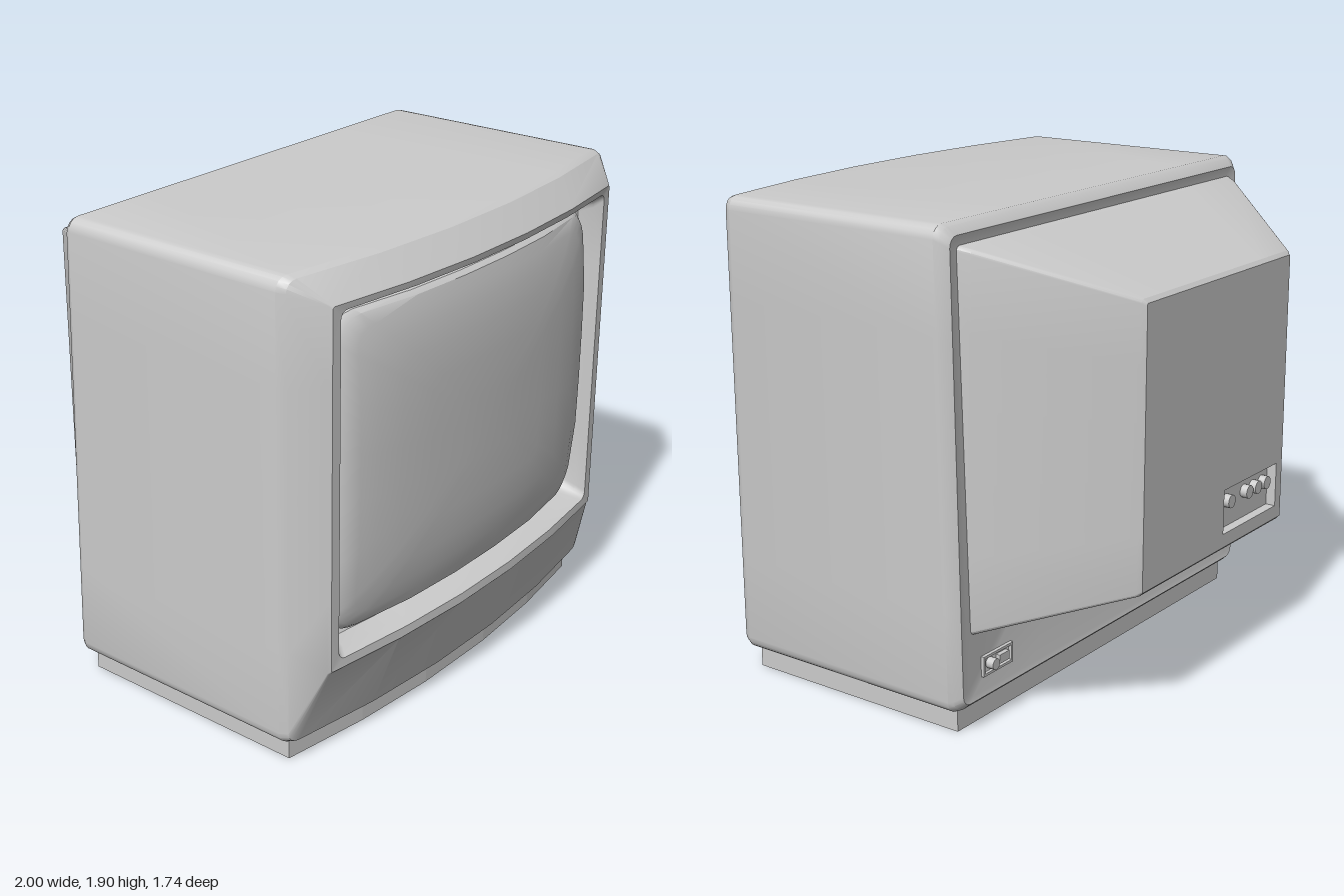
import * as THREE from 'three';
import { toCreasedNormals } from 'three/addons/utils/BufferGeometryUtils.js';

const grey = new THREE.MeshStandardMaterial({ color: 0xcccccc });
const inside = new THREE.MeshStandardMaterial({ color: 0xcccccc, side: THREE.BackSide });

// Rounded rectangle loop: half width w, heights y0..y1, corner radius r, depth z(x, y)
function ring([w, y0, y1, r, z]) {
  const arcs = [[w - r, y0 + r, -0.5], [w - r, y1 - r, 0], [r - w, y1 - r, 0.5], [r - w, y0 + r, 1]];
  const corners = arcs.map(([cx, cy, a]) => [0, 1, 2, 3, 4].map((k) => {
    const t = (a + k / 8) * Math.PI;
    return [cx + r * Math.cos(t), cy + r * Math.sin(t)];
  }));
  const pts = [];
  corners.forEach((arc, i) => {
    pts.push(...arc);
    const p = arc[4], q = corners[(i + 1) % 4][0];
    for (let k = 1; k < 5; k++) pts.push([p[0] + (q[0] - p[0]) * k / 5, p[1] + (q[1] - p[1]) * k / 5]);
  });
  return pts.map(([x, y]) => [x, y, z(x, y)]);
}

// Skin a list of loops, keeping edges sharper than the crease angle
function loft(sections, crease = 0.45) {
  const rings = sections.map(ring), pos = [];
  for (let i = 0; i + 1 < rings.length; i++) {
    const n = rings[i].length;
    for (let j = 0; j < n; j++) {
      const k = (j + 1) % n;
      const a = rings[i][j], b = rings[i][k], c = rings[i + 1][k], d = rings[i + 1][j];
      pos.push(...a, ...b, ...c, ...a, ...c, ...d);
    }
  }
  const g = new THREE.BufferGeometry();
  g.setAttribute('position', new THREE.Float32BufferAttribute(pos, 3));
  return toCreasedNormals(g, crease);
}

function rectPath(target, x0, x1, y0, y1) {
  target.moveTo(x0, y0).lineTo(x1, y0).lineTo(x1, y1).lineTo(x0, y1);
  target.closePath();
  return target;
}

export function createModel() {
  const group = new THREE.Group();
  const add = (name, geometry, x = 0, y = 0, z = 0, material = grey) => {
    const m = new THREE.Mesh(geometry, material);
    m.name = name;
    m.position.set(x, y, z);
    group.add(m);
    return m;
  };

  // Bowed front and slightly leaning back
  const bow = (z) => (x) => z - 0.1 * x * x;
  const back = (off) => (x, y) => -0.31 - 0.04 * (1.9 - y) / 1.8 - off;
  const flat = (z) => () => z;

  // Cabinet shell, from the back panel round to the recess behind the bezel
  add('cabinet', loft([
    [0, 1, 1, 0, back(0.04)],
    [0.93, 0.14, 1.83, 0.03, back(0.04)],
    [0.965, 0.12, 1.86, 0.04, back(0.045)],
    [0.99, 0.097, 1.89, 0.05, back(0.02)],
    [1, 0.09, 1.9, 0.05, back(0)],
    [1, 0.09, 1.9, 0.05, bow(0.755)],
    [0.985, 0.1, 1.89, 0.045, bow(0.785)],
    [0.885, 0.385, 1.805, 0.01, bow(0.865)],
    [0.875, 0.395, 1.795, 0.01, bow(0.874)],
    [0.835, 0.43, 1.77, 0.03, bow(0.87)],
    [0.815, 0.445, 1.75, 0.04, bow(0.83)],
    [0.8, 0.46, 1.735, 0.05, bow(0.77)],
    [0.77, 0.49, 1.705, 0.08, bow(0.75)],
  ]));

  // Bulging picture tube glass
  const glass = (drop) => (x, y) => 0.86 - drop - 0.1 * x * x
    - 0.05 * Math.abs((y - 1.1) / 0.62) ** 4 - 0.03 * Math.abs(x / 0.79) ** 6;
  const screenRing = (s, drop = 0) => [0.79 * s, 1.1 - 0.625 * s, 1.1 + 0.62 * s, 0.1 * s, glass(drop)];
  add('screen', loft([screenRing(1, 0.1), screenRing(1, 0.015),
    ...[0.975, 0.9, 0.8, 0.65, 0.45, 0.2, 0].map((s) => screenRing(s))], 0.6));

  // Tapered rear housing
  add('rearHousing', loft([
    [0.515, 0.535, 1.615, 0.01, flat(-0.87)],
    [0.53, 0.52, 1.63, 0.015, flat(-0.855)],
    [0.9, 0.385, 1.81, 0.02, flat(-0.395)],
    [0.93, 0.37, 1.825, 0.02, flat(-0.34)],
  ], 0.3));

  // Rear face with a cut-out for the sockets (drawn mirrored, then turned round)
  const face = rectPath(new THREE.Shape(), -0.515, 0.515, 0.535, 1.615);
  face.holes.push(rectPath(new THREE.Path(), 0.06, 0.47, 0.59, 0.77));
  add('rearFace', new THREE.ShapeGeometry(face), 0, 0, -0.87).rotation.y = Math.PI;
  add('socketRecess', new THREE.BoxGeometry(0.41, 0.18, 0.04), -0.265, 0.68, -0.85, inside);
  for (const x of [-0.14, -0.28, -0.35, -0.42]) {
    add('socket', new THREE.CylinderGeometry(0.027, 0.027, 0.03, 16), x, 0.7, -0.845).rotation.x = Math.PI / 2;
  }

  // Aerial connector low on the back panel
  const frame = rectPath(new THREE.Shape(), -0.09, 0.09, -0.04, 0.04);
  frame.holes.push(rectPath(new THREE.Path(), -0.08, 0.08, -0.03, 0.03));
  add('connectorFrame', new THREE.ExtrudeGeometry(frame, { depth: 0.02, bevelEnabled: false }), 0.76, 0.24, -0.4);
  add('connectorPlug', new THREE.CylinderGeometry(0.022, 0.022, 0.05, 14), 0.8, 0.24, -0.395).rotation.x = Math.PI / 2;
  add('connectorBlock', new THREE.BoxGeometry(0.06, 0.035, 0.03), 0.73, 0.24, -0.39);

  // Plinth with the same bowed front
  const base = new THREE.Shape();
  base.moveTo(-0.94, 0.345);
  for (const x of [-0.94, -0.57, -0.2, 0.2, 0.57, 0.94]) base.lineTo(x, -bow(0.74)(x));
  base.lineTo(0.94, 0.345);
  base.closePath();
  add('plinth', new THREE.ExtrudeGeometry(base, { depth: 0.1, bevelEnabled: false })).rotation.x = -Math.PI / 2;

  return group;
}
